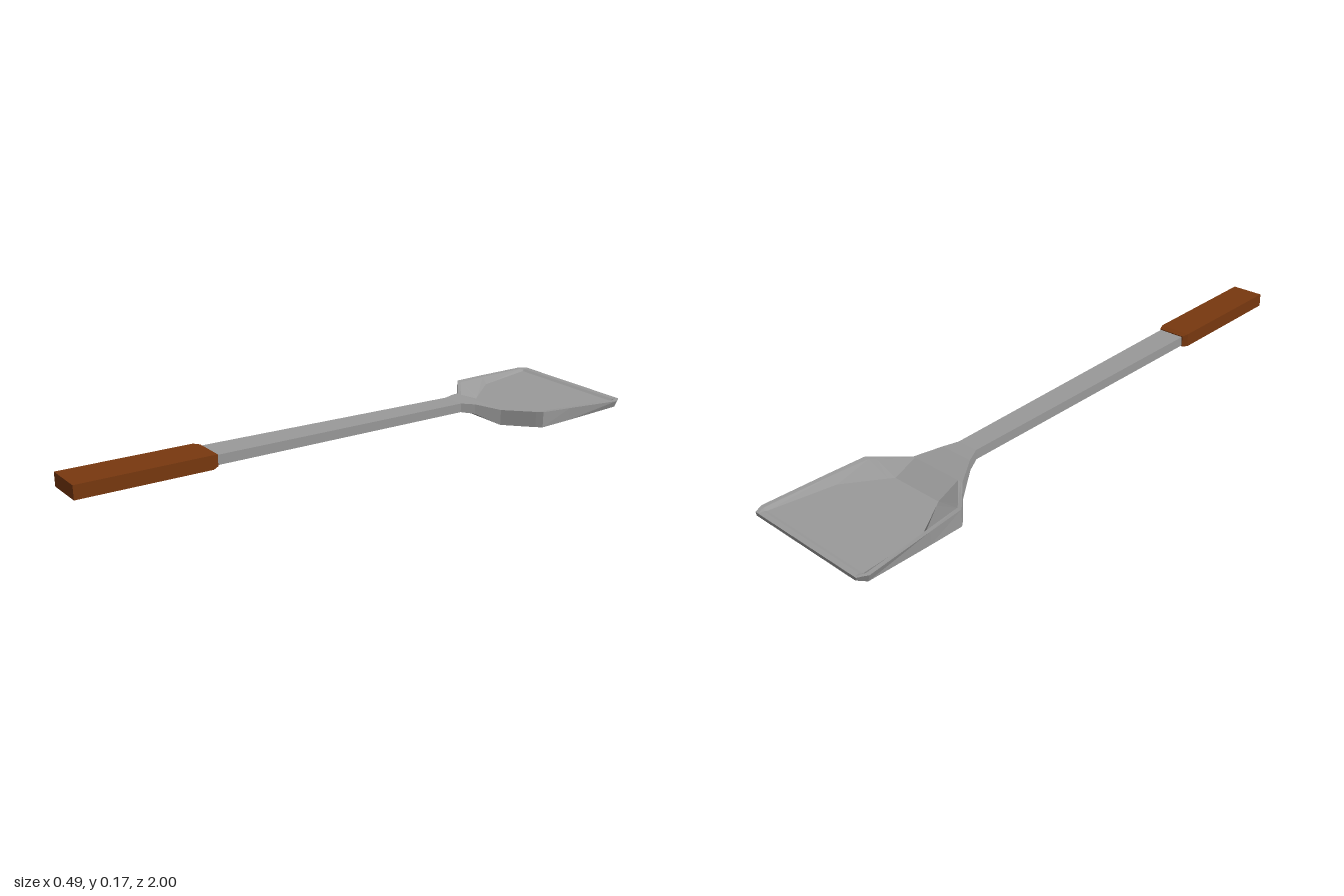
import * as THREE from 'three';

// Skin a list of cross-sections (equal point counts, ordered from +z to -z), flat faced and capped.
function loft(sections) {
  const pos = [];
  const a = new THREE.Vector3(), b = new THREE.Vector3();
  const tri = (p, q, r) => {
    a.subVectors(q, p);
    b.subVectors(r, p);
    if (a.cross(b).length() > 1e-9) for (const v of [p, q, r]) pos.push(v.x, v.y, v.z);
  };
  const n = sections[0].length;
  for (let i = 0; i < sections.length - 1; i++) {
    const s = sections[i], t = sections[i + 1];
    for (let j = 0; j < n; j++) {
      const k = (j + 1) % n;
      tri(s[j], t[j], t[k]);
      tri(s[j], t[k], s[k]);
    }
  }
  const first = sections[0], last = sections[sections.length - 1];
  for (let j = 1; j < n - 1; j++) {
    tri(first[0], first[j], first[j + 1]);
    tri(last[0], last[j + 1], last[j]);
  }
  const geo = new THREE.BufferGeometry();
  geo.setAttribute('position', new THREE.Float32BufferAttribute(pos, 3));
  geo.computeVertexNormals();
  return geo;
}

// Mirror right-hand points, listed bottom to top, into a full symmetric section.
function section(z, half) {
  const right = half.map(([x, y]) => new THREE.Vector3(x, y, z));
  const left = half.map(([x, y]) => new THREE.Vector3(-x, y, z)).reverse();
  return [...right, ...left];
}

export function createModel() {
  const steel = new THREE.MeshStandardMaterial({ color: 0x9a9a9a, flatShading: true });
  steel.name = 'steel grey';
  const wood = new THREE.MeshStandardMaterial({ color: 0x78380f, flatShading: true });
  wood.name = 'wood brown';

  const group = new THREE.Group();
  group.name = 'spatula';
  const add = (name, sections, material) => {
    const mesh = new THREE.Mesh(loft(sections), material);
    mesh.name = name;
    group.add(mesh);
  };

  // Wooden grip, chamfered where it meets the shaft
  add('grip', [
    section(1.0, [[0.058, 0.131], [0.058, 0.175]]),
    section(0.57, [[0.057, 0.106], [0.057, 0.151]]),
    section(0.55, [[0.049, 0.109], [0.049, 0.146]]),
  ], wood);

  // Slim tapering shaft
  add('shaft', [
    section(0.56, [[0.046, 0.112], [0.046, 0.144]]),
    section(-0.41, [[0.038, 0.054], [0.038, 0.085]]),
  ], steel);

  // Neck flaring out to the shoulders
  add('neck', [
    section(-0.41, [[0.038, 0.054], [0.038, 0.085]]),
    section(-0.455, [[0.06, 0.044], [0.06, 0.078]]),
    section(-0.53, [[0.109, 0.001], [0.109, 0.055]]),
  ], steel);

  // Blade: bottom edge, outer rim, inner rim, pan floor
  add('blade', [
    section(-0.53, [[0.109, 0.001], [0.109, 0.055], [0.1, 0.055], [0.09, 0.055]]),
    section(-0.61, [[0.196, 0], [0.196, 0.055], [0.18, 0.053], [0.095, 0.022]]),
    section(-0.628, [[0.213, 0], [0.213, 0.055], [0.196, 0.053], [0.108, 0.022]]),
    section(-0.75, [[0.221, 0.001], [0.224, 0.046], [0.209, 0.045], [0.19, 0.021]]),
    section(-0.97, [[0.235, 0.005], [0.243, 0.028], [0.228, 0.028], [0.216, 0.021]]),
    section(-0.982, [[0.23, 0.01], [0.236, 0.028], [0.224, 0.028], [0.214, 0.026]]),
    section(-1.0, [[0.222, 0.017], [0.226, 0.027], [0.22, 0.027], [0.212, 0.027]]),
  ], steel);

  return group;
}
